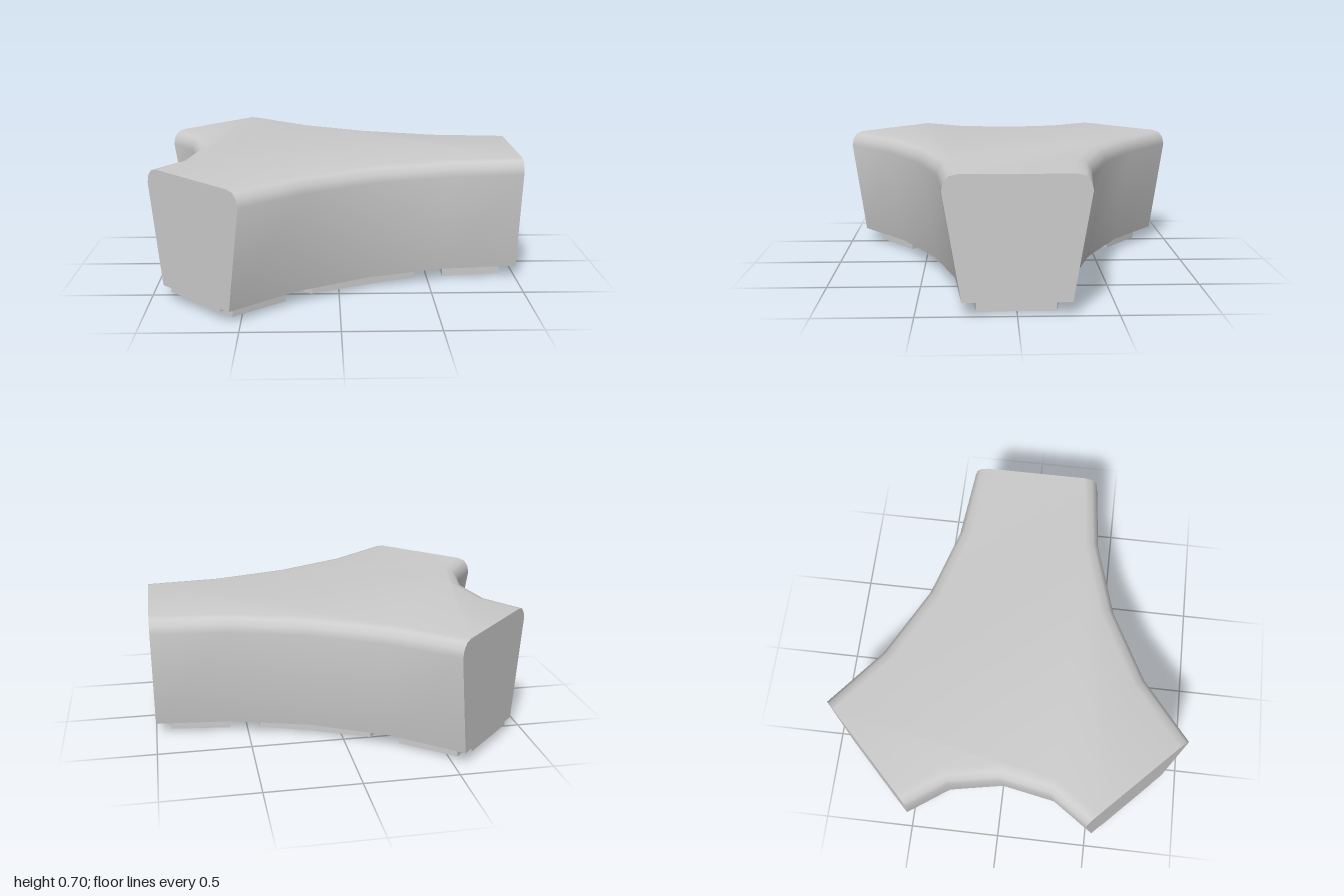
import * as THREE from 'three';
import { toCreasedNormals } from 'three/addons/utils/BufferGeometryUtils.js';

const material = new THREE.MeshStandardMaterial({ color: 0xcccccc });

// Half outline of the three-armed body: x, z and the direction in which it insets
const half = [
  [1, 0.36, 0, -1], [0.6, 0.4, -0.2, -0.98], [0.2, 0.52, -0.37, -0.93],
  [-0.18, 0.72, -0.56, -0.83], [-0.49, 0.975, -0.71, -0.71],
  [-1, 0.47, 0.71, 0.71], [-0.86, 0.27, 0.92, 0.38], [-0.81, 0, 1, 0],
];

// Complete a half polygon with its mirror image across z = 0
function mirrored(points) {
  const other = points.filter(p => p[1] > 0).reverse();
  return [...points, ...other.map(([x, z]) => [x, -z])];
}

function outline(inset) {
  return mirrored(half.map(([x, z, dx, dz]) => [x + dx * inset, z + dz * inset]));
}

// Closed solid through stacked rings, each { points, y }
function loft(rings, crease) {
  const n = rings[0].points.length;
  const position = rings.flatMap(r => r.points.flatMap(([x, z]) => [x, r.y, z]));
  const index = [];
  for (let r = 0; r < rings.length - 1; r++) {
    for (let i = 0; i < n; i++) {
      const a = r * n + i, b = r * n + (i + 1) % n;
      index.push(a, a + n, b, b, a + n, b + n);
    }
  }
  const cap = (r, up) => {
    const p = rings[r].points.map(([x, z]) => new THREE.Vector2(x, z));
    for (const [a, b, c] of THREE.ShapeUtils.triangulateShape(p, [])) {
      const facesDown = THREE.ShapeUtils.area([p[a], p[b], p[c]]) > 0;
      const tri = facesDown !== up ? [a, b, c] : [a, c, b];
      index.push(...tri.map(i => r * n + i));
    }
  };
  cap(0, false);
  cap(rings.length - 1, true);
  const geometry = new THREE.BufferGeometry();
  geometry.setAttribute('position', new THREE.Float32BufferAttribute(position, 3));
  geometry.setIndex(index);
  return toCreasedNormals(geometry, crease);
}

export function createModel() {
  const group = new THREE.Group();
  const add = (name, geometry) => {
    const mesh = new THREE.Mesh(geometry, material);
    mesh.name = name;
    group.add(mesh);
    return mesh;
  };
  const slab = (points, y0, y1) => loft([{ points, y: y0 }, { points, y: y1 }], 0.5);

  // Body: walls flare upward, then round over into the flat top
  const profile = [[0.09, 0.07], [0, 0.62], [0.01, 0.66], [0.035, 0.69], [0.08, 0.7]];
  add('body', loft(profile.map(([inset, y]) => ({ points: outline(inset), y })), 0.7));

  // Thin plate that carries the pads
  const plate = outline(0.16).map(([x, z]) => [x > 0.95 ? 0.92 : x, z]);
  add('basePlate', slab(plate, 0.05, 0.08));

  // Central pad, cut off where each arm begins
  add('centerPad', slab(mirrored([
    [0.43, 0.26], [0.14, 0.37], [-0.15, 0.5], [-0.51, 0.145], [-0.65, 0],
  ]), 0, 0.06));

  // One pad under each arm, tapering toward the arm's end
  const arms = [
    ['rightArmPad', 1, 0, 0],
    ['backArmPad', -0.745, -0.7225, Math.PI * 0.75],
    ['frontArmPad', -0.745, 0.7225, -Math.PI * 0.75],
  ];
  const padOutline = [[-0.08, 0.2], [-0.41, 0.24], [-0.41, -0.24], [-0.08, -0.2]];
  for (const [name, x, z, angle] of arms) {
    const pad = add(name, slab(padOutline, 0, 0.06));
    pad.position.set(x, 0, z);
    pad.rotation.y = angle;
  }
  return group;
}
